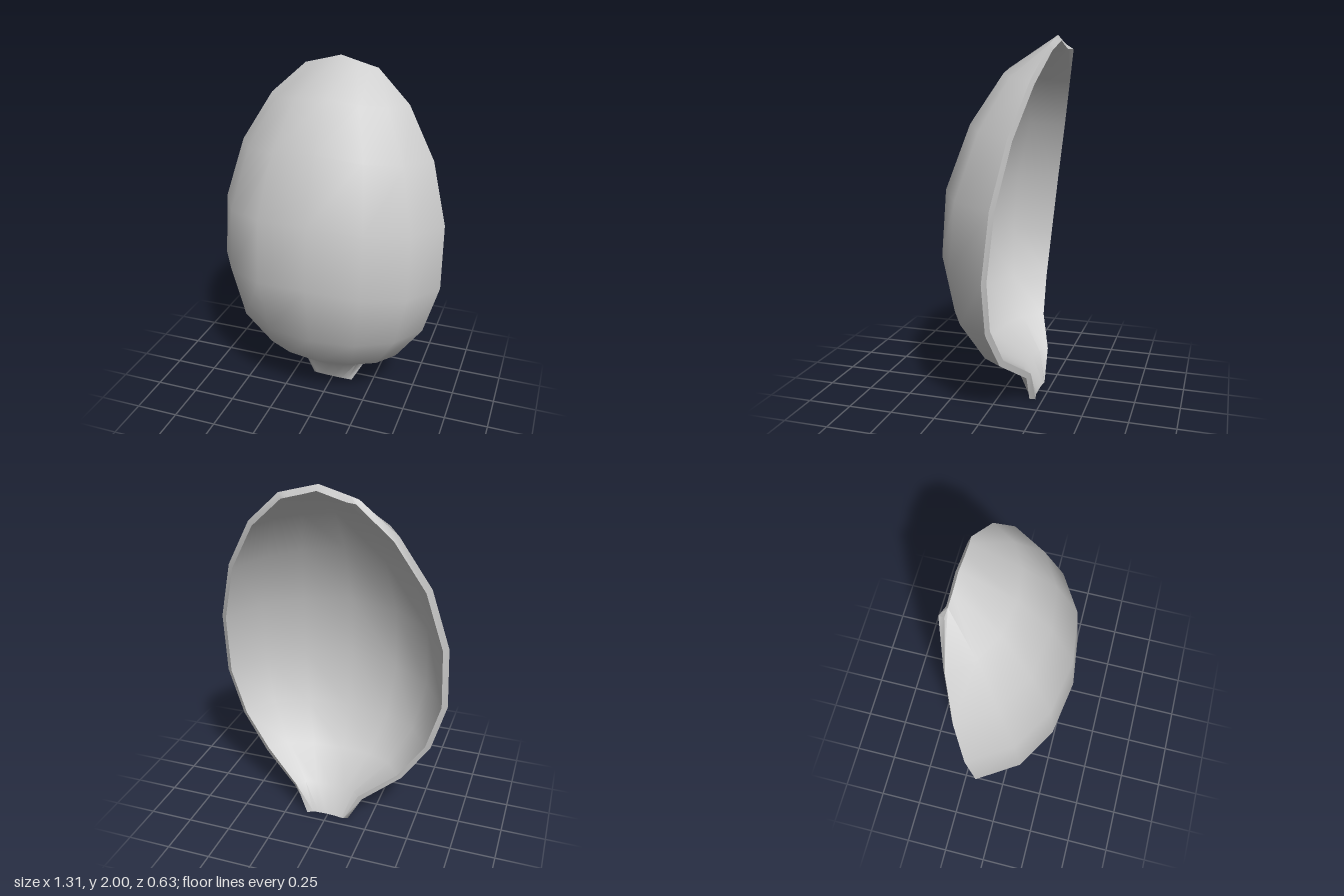
import * as THREE from 'three';
import { toCreasedNormals } from 'three/addons/utils/BufferGeometryUtils.js';

// One row per cross-section: half width, rim y, rim z, centre y, centre z
const ROWS = [
  [0.125, 0.00, -0.178, 0.00, -0.172],
  [0.21, 0.16, -0.185, 0.14, -0.10],
  [0.42, 0.305, -0.10, 0.29, 0.10],
  [0.573, 0.525, -0.075, 0.52, 0.245],
  [0.655, 0.81, -0.085, 0.87, 0.305],
  [0.648, 1.17, -0.125, 1.23, 0.28],
  [0.555, 1.505, -0.185, 1.58, 0.15],
  [0.395, 1.775, -0.25, 1.83, -0.02],
  [0.207, 1.945, -0.292, 2.00, -0.285],
];
// Shape across a row: fraction of the half width, fraction of the bulge
const COLS = [[-1, 0], [-0.79, 0.56], [-0.45, 0.89], [0, 1], [0.45, 0.89], [0.79, 0.56], [1, 0]];
const THICKNESS = 0.035;
const TWIST = 0.02; // slight turn about the upright axis

function buildShell() {
  const nr = ROWS.length, nc = COLS.length, count = nr * nc;
  const outer = [], index = [];
  for (const [w, ry, rz, cy, cz] of ROWS) {
    for (const [u, b] of COLS) {
      const x = u * w;
      const rise = 1 - Math.abs(u);
      outer.push(x, ry + (cy - ry) * rise, rz + (cz - rz) * b + TWIST * x);
    }
  }
  const id = (r, c) => r * nc + c;
  for (let r = 0; r < nr - 1; r++) {
    for (let c = 0; c < nc - 1; c++) {
      const a = id(r, c), b = id(r, c + 1), d = id(r + 1, c), e = id(r + 1, c + 1);
      index.push(a, b, e, a, e, d);
    }
  }
  const skin = new THREE.BufferGeometry();
  skin.setAttribute('position', new THREE.Float32BufferAttribute(outer, 3));
  skin.setIndex(index);
  skin.computeVertexNormals();

  // Inner skin: the outer one pushed inward along its normals and reversed
  const n = skin.attributes.normal.array;
  const inner = outer.map((v, i) => v - n[i] * THICKNESS);
  const all = [...index];
  for (let i = 0; i < index.length; i += 3) {
    all.push(index[i] + count, index[i + 2] + count, index[i + 1] + count);
  }

  // Rim strip joining both skins, counter-clockwise around the edge
  const loop = [];
  for (let c = 0; c < nc - 1; c++) loop.push(id(0, c));
  for (let r = 0; r < nr - 1; r++) loop.push(id(r, nc - 1));
  for (let c = nc - 1; c > 0; c--) loop.push(id(nr - 1, c));
  for (let r = nr - 1; r > 0; r--) loop.push(id(r, 0));
  loop.forEach((a, i) => {
    const b = loop[(i + 1) % loop.length];
    all.push(a, a + count, b + count, a, b + count, b);
  });

  const shell = new THREE.BufferGeometry();
  shell.setAttribute('position', new THREE.Float32BufferAttribute([...outer, ...inner], 3));
  shell.setIndex(all);
  return toCreasedNormals(shell, 0.95);
}

export function createModel() {
  const model = new THREE.Group();
  model.name = 'petalShell';
  const material = new THREE.MeshStandardMaterial({ color: 0xcccccc });
  const petal = new THREE.Mesh(buildShell(), material);
  petal.name = 'petal';
  model.add(petal);
  return model;
}
